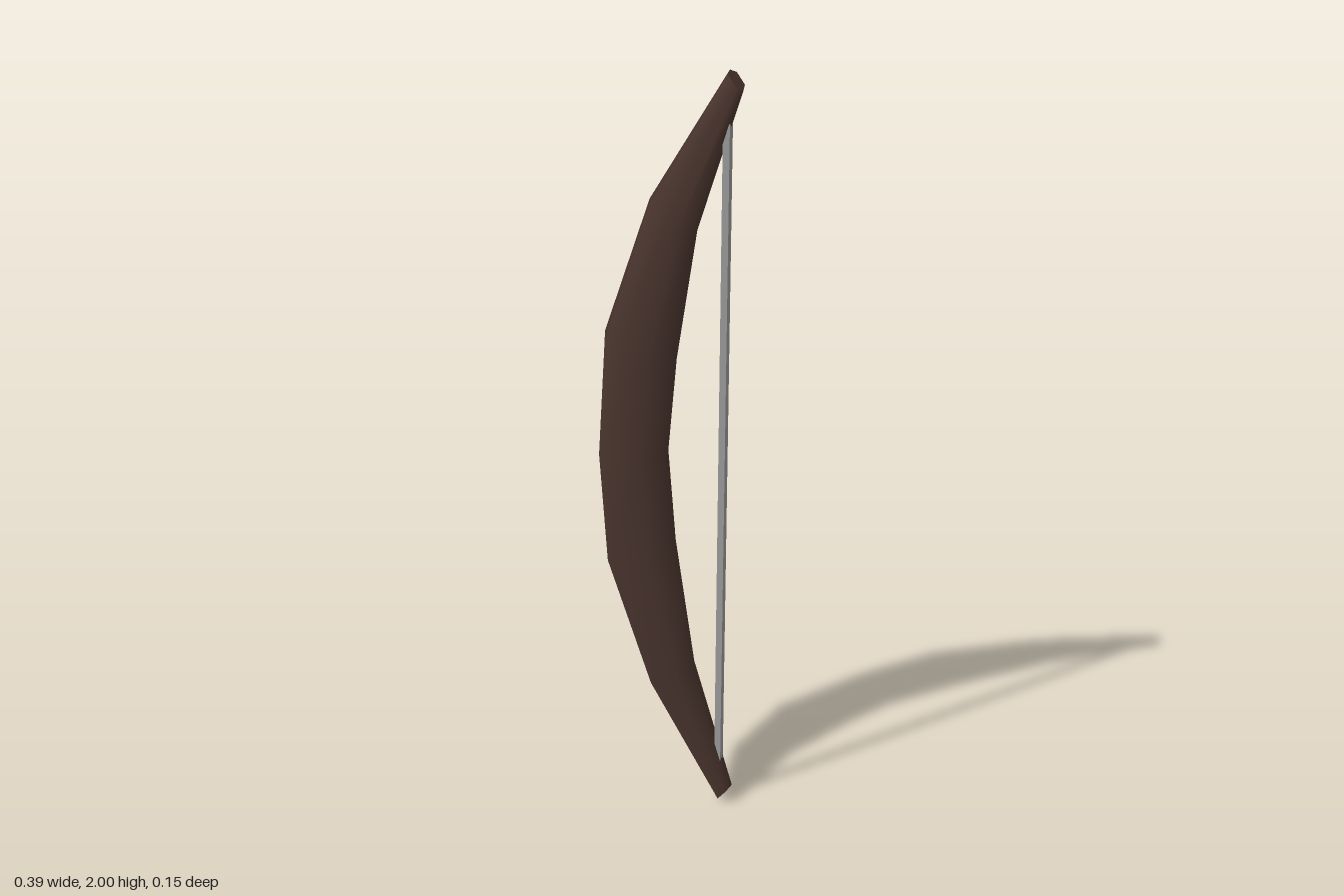
import * as THREE from 'three';

// Upper half of the limb: outer edge (x, y), inner edge (x, y), half thickness in z
const HALF = [
  [-0.2, 1.0, 0.0, 1.0, 0.075],
  [-0.18, 1.31, 0.025, 1.27, 0.075],
  [-0.05, 1.67, 0.08, 1.61, 0.052],
  [0.16, 2.0, 0.195, 1.955, 0.022],
];

// Hexagonal ring running from the outer edge round to the inner edge and back
function hexRing([ox, oy, ix, iy, z]) {
  return [[0, 0], [0.2, 1], [0.8, 1], [1, 0], [0.8, -1], [0.2, -1]].map(([t, s]) =>
    new THREE.Vector3(ox + (ix - ox) * t, oy + (iy - oy) * t, s * z));
}

// Skins a stack of rings with smooth sides and flat end caps
function loft(rings) {
  const n = rings[0].length;
  const pos = [], index = [];
  const add = (ring) => {
    const start = pos.length / 3;
    ring.forEach((p) => pos.push(p.x, p.y, p.z));
    return start;
  };
  rings.forEach(add);
  for (let r = 0; r < rings.length - 1; r++) {
    for (let i = 0; i < n; i++) {
      const a = r * n + i, b = r * n + (i + 1) % n;
      index.push(a, b, b + n, a, b + n, a + n);
    }
  }
  const bottom = add(rings[0]);
  const top = add(rings[rings.length - 1]);
  for (let i = 1; i < n - 1; i++) {
    index.push(bottom, bottom + i + 1, bottom + i);
    index.push(top, top + i, top + i + 1);
  }
  const geo = new THREE.BufferGeometry();
  geo.setAttribute('position', new THREE.Float32BufferAttribute(pos, 3));
  geo.setIndex(index);
  geo.computeVertexNormals();
  return geo;
}

export function createModel() {
  const group = new THREE.Group();
  group.name = 'bow';

  // Curved wooden limb, mirrored about mid height
  const lower = HALF.slice(1).reverse().map(([ox, oy, ix, iy, z]) => [ox, 2 - oy, ix, 2 - iy, z]);
  const limb = new THREE.Mesh(
    loft([...lower, ...HALF].map(hexRing)),
    new THREE.MeshStandardMaterial({ color: 0x4a352e }));
  limb.name = 'bowLimb';
  group.add(limb);

  // Straight string between the tips
  const string = new THREE.Mesh(
    new THREE.BoxGeometry(0.018, 1.75, 0.016),
    new THREE.MeshStandardMaterial({ color: 0x999999 }));
  string.name = 'bowString';
  string.position.set(0.157, 1, 0);
  group.add(string);

  return group;
}
